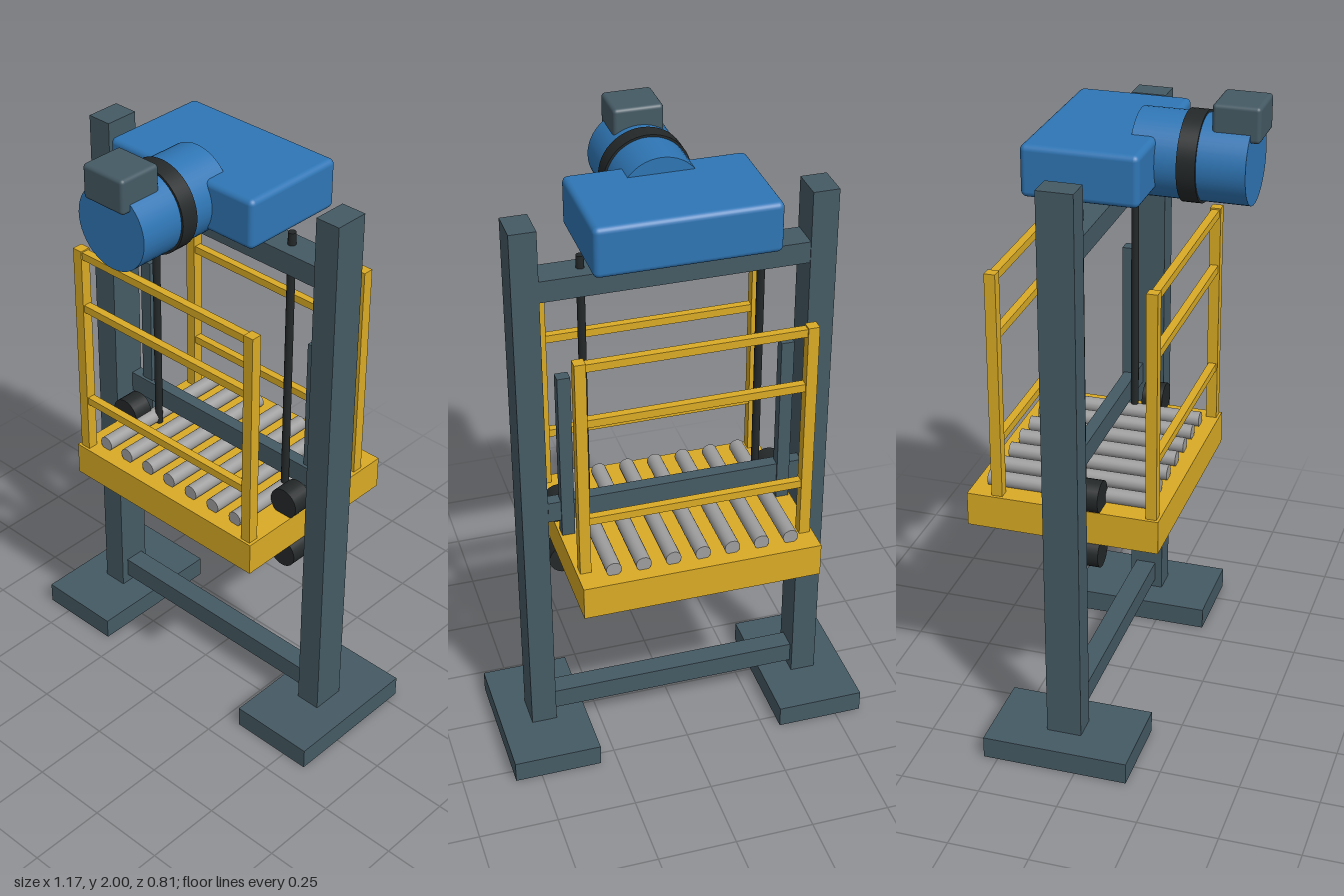
import * as THREE from 'three';
import { RoundedBoxGeometry } from 'three/addons/geometries/RoundedBoxGeometry.js';

const material = (color) => new THREE.MeshStandardMaterial({ color });

export function createModel() {
  const model = new THREE.Group();
  model.name = 'verticalLift';
  const steel = material(0x455a64);
  const yellow = material(0xdaab25);
  const blue = material(0x2f76b5);
  const black = material(0x242829);
  const grey = material(0x9e9e9e);

  const add = (name, geometry, mat) => {
    const mesh = new THREE.Mesh(geometry, mat);
    mesh.name = name;
    model.add(mesh);
    return mesh;
  };

  // Box given by its extents on each axis, optionally with rounded edges
  const box = (name, mat, [x0, x1], [y0, y1], [z0, z1], radius = 0) => {
    const size = [x1 - x0, y1 - y0, z1 - z0];
    const geometry = radius
      ? new RoundedBoxGeometry(...size, 3, radius)
      : new THREE.BoxGeometry(...size);
    add(name, geometry, mat).position.set((x0 + x1) / 2, (y0 + y1) / 2, (z0 + z1) / 2);
  };

  // Cylinder lying along z
  const rod = (name, mat, r, x, y, [z0, z1], sides = 32) => {
    const mesh = add(name, new THREE.CylinderGeometry(r, r, z1 - z0, sides), mat);
    mesh.rotation.x = Math.PI / 2;
    mesh.position.set(x, y, (z0 + z1) / 2);
  };

  // Box centred on x = side * x
  const sideBox = (name, mat, side, x, width, y, z, radius = 0) =>
    box(name, mat, [side * x - width / 2, side * x + width / 2], y, z, radius);

  for (const side of [-1, 1]) {
    // Mast columns on flat feet
    sideBox('foot', steel, side, 0.445, 0.28, [0, 0.07], [-0.295, 0.165]);
    sideBox('column', steel, side, 0.446, 0.081, [0.07, 1.85], [-0.12, -0.01]);

    // Carriage upright and its two guide wheels
    sideBox('carriageUpright', steel, side, 0.345, 0.04, [0.75, 1.365], [-0.125, -0.09]);
    for (const y of [0.845, 0.657])
      rod('guideWheel', black, 0.05, side * 0.341, y, [-0.05, 0.018], 24);

    // Lifting cable
    const cable = add('liftCable', new THREE.CylinderGeometry(0.0125, 0.0125, 0.93, 12), black);
    cable.position.set(side * 0.272, 1.265, -0.067);

    // Guard posts at the front and back of the platform
    for (const z of [0.175, -0.309])
      sideBox('guardPost', yellow, side, 0.345, 0.034, [0.8, 1.53], [z - 0.017, z + 0.017]);
  }

  // Cross members
  box('topBeam', steel, [-0.41, 0.41], [1.622, 1.69], [-0.117, -0.018]);
  box('bottomBeam', steel, [-0.41, 0.41], [0.098, 0.165], [-0.1, -0.034]);
  box('carriageBeam', steel, [-0.405, 0.405], [0.86, 0.928], [-0.12, -0.08]);

  // Platform with guard rails
  box('platform', yellow, [-0.372, 0.372], [0.697, 0.805], [-0.402, 0.2]);
  for (const z of [0.175, -0.309])
    for (const y of [0.987, 1.328, 1.513])
      box('guardRail', yellow, [-0.345, 0.345], [y - 0.0125, y + 0.0125], [z - 0.0125, z + 0.0125]);

  // Conveyor rollers
  for (let i = 0; i < 7; i++)
    rod('roller', grey, 0.024, -0.288 + i * 0.0925, 0.824, [-0.358, 0.155], 20);

  // Drive unit
  box('gearbox', blue, [-0.277, 0.277], [1.74, 1.896], [-0.242, 0.109], 0.018);
  rod('motor', blue, 0.128, 0, 1.817, [0.035, 0.375], 48);
  rod('motorBand', black, 0.135, 0, 1.817, [0.175, 0.231], 48);
  box('terminalBox', steel, [-0.077, 0.077], [1.893, 2.0], [0.262, 0.403], 0.012);

  return model;
}
